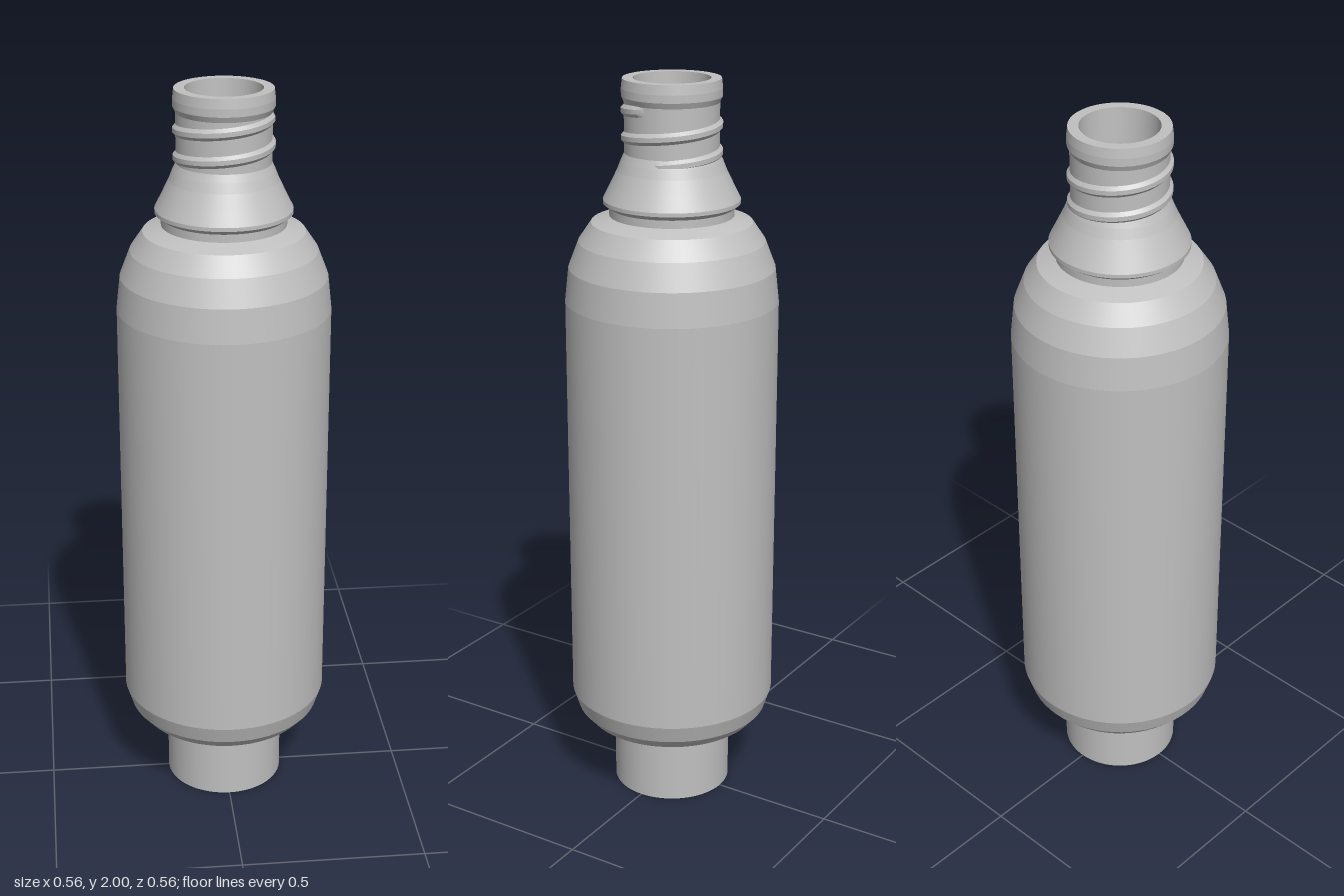
import * as THREE from 'three';
import { mergeGeometries, toCreasedNormals } from 'three/addons/utils/BufferGeometryUtils.js';

const SEGMENTS = 64;

// Revolves each profile step as its own band: smooth around, crisp between bands
function bandedLathe(points) {
  const bands = [];
  for (let i = 0; i < points.length - 1; i++) {
    const pair = [points[i], points[i + 1]].map(([r, y]) => new THREE.Vector2(r, y));
    bands.push(new THREE.LatheGeometry(pair, SEGMENTS));
  }
  return mergeGeometries(bands);
}

// Helical ridge on a wall; a negative height makes it point inwards
function helicalThread({ wall, height, startY, pitch, turns, baseHalf, crestHalf }) {
  const steps = Math.round(turns * SEGMENTS);
  const positions = [];
  const index = [];
  for (let i = 0; i <= steps; i++) {
    const t = i / steps;
    const angle = t * turns * Math.PI * 2;
    const y = startY + pitch * turns * t;
    const fade = Math.min(1, i / 3, (steps - i) / 3);
    const crest = wall + height * fade;
    const section = [[wall, -baseHalf], [crest, -crestHalf], [crest, crestHalf], [wall, baseHalf]];
    for (const [r, dy] of section) {
      positions.push(r * Math.cos(angle), y + dy, -r * Math.sin(angle));
    }
    if (i === steps) continue;
    for (let j = 0; j < 3; j++) {
      const a = i * 4 + j, b = a + 1, c = a + 4, d = a + 5;
      if (height > 0) index.push(a, c, b, b, c, d);
      else index.push(a, b, c, b, d, c);
    }
  }
  const geometry = new THREE.BufferGeometry();
  geometry.setAttribute('position', new THREE.Float32BufferAttribute(positions, 3));
  geometry.setIndex(index);
  return toCreasedNormals(geometry, 0.4);
}

export function createModel() {
  const model = new THREE.Group();
  model.name = 'threadedCanister';
  const grey = new THREE.MeshStandardMaterial({ color: 0xc0c0c0 });
  grey.name = 'lightGrey';

  const add = (name, geometry) => {
    const mesh = new THREE.Mesh(geometry, grey);
    mesh.name = name;
    model.add(mesh);
  };

  // Hollow collar at the foot, from the socket floor out to the outer wall
  add('bottomSocket', bandedLathe([
    [0, 0.2], [0.14, 0.2], [0.14, 0], [0.162, 0], [0.162, 0.21],
  ]));

  // Main cylinder with chamfered foot and stepped round shoulder
  add('body', bandedLathe([
    [0.162, 0.21], [0.24, 0.21], [0.266, 0.24], [0.282, 0.29], [0.282, 1.42],
    [0.272, 1.51], [0.245, 1.58], [0.211, 1.63], [0.163, 1.647],
  ]));

  // Undercut, flared flange and narrowing neck
  add('neckFlange', bandedLathe([
    [0.163, 1.647], [0.163, 1.668], [0.179, 1.68], [0.179, 1.69],
    [0.159, 1.73], [0.142, 1.765], [0.132, 1.79], [0.123, 1.81],
  ]));

  // Spout with a rim, an open bore and its floor
  add('spout', bandedLathe([
    [0.123, 1.81], [0.123, 1.94], [0.13, 1.955], [0.13, 1.975], [0.127, 2],
    [0.1, 2], [0.092, 1.65], [0, 1.65],
  ]));

  // Two turns of outer thread, plus a matching thread inside the socket
  add('outerThread', helicalThread({
    wall: 0.122, height: 0.009, startY: 1.79, pitch: 0.07, turns: 2,
    baseHalf: 0.016, crestHalf: 0.006,
  }));
  add('innerThread', helicalThread({
    wall: 0.141, height: -0.01, startY: 0.04, pitch: 0.07, turns: 1.75,
    baseHalf: 0.014, crestHalf: 0.005,
  }));

  return model;
}
